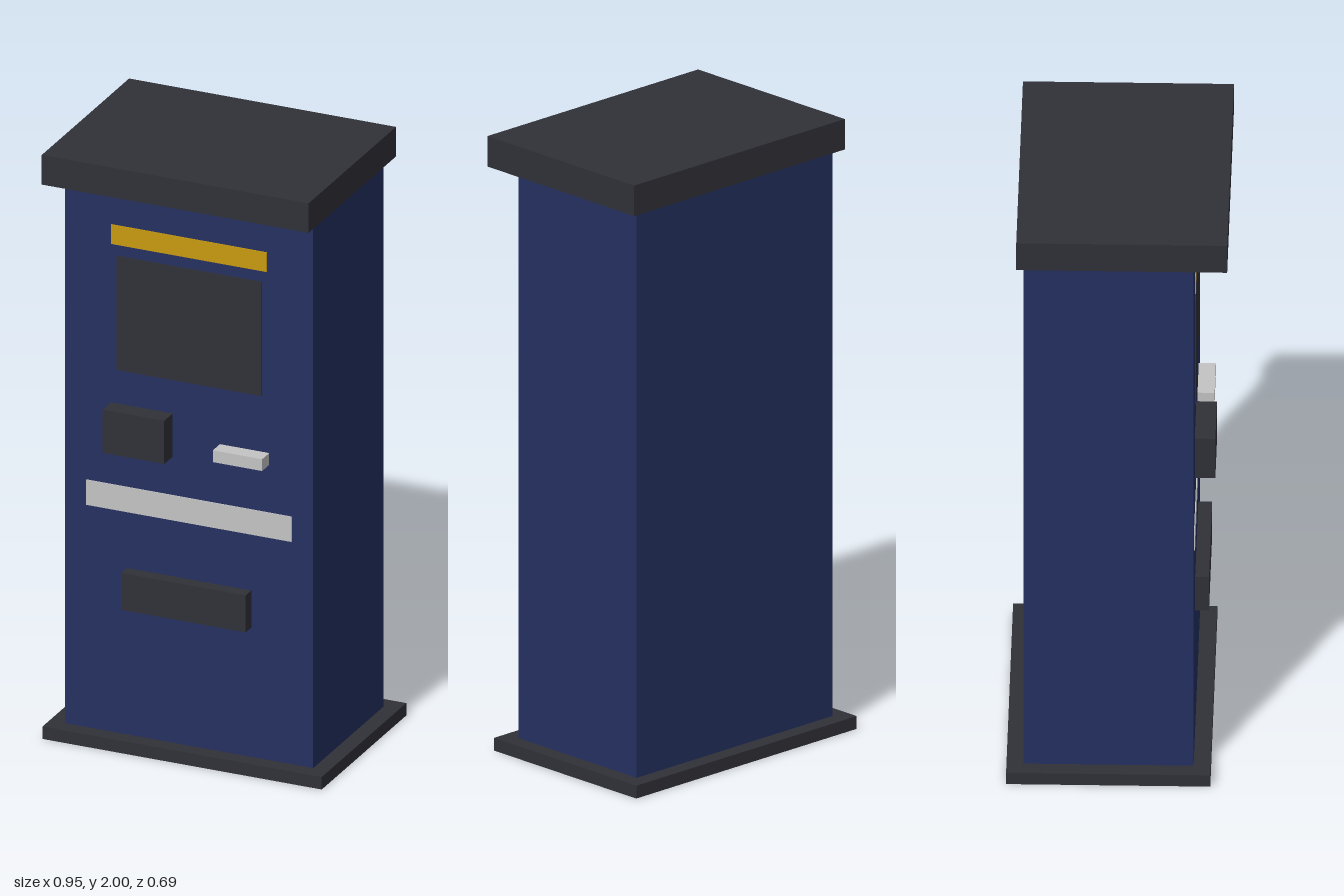
import * as THREE from 'three';

const material = (name, color) => {
  const m = new THREE.MeshStandardMaterial({ color });
  m.name = name;
  return m;
};

export function createModel() {
  const navy = material('navy blue', 0x243060);
  const charcoal = material('charcoal', 0x303038);
  const silver = material('silver grey', 0xc4c4c4);
  const amber = material('amber', 0xc89a10);

  const kiosk = new THREE.Group();
  kiosk.name = 'kiosk';

  // Box given by its extents on each axis
  const box = (name, mat, [x0, x1], [y0, y1], [z0, z1]) => {
    const mesh = new THREE.Mesh(new THREE.BoxGeometry(x1 - x0, y1 - y0, z1 - z0), mat);
    mesh.position.set((x0 + x1) / 2, (y0 + y1) / 2, (z0 + z1) / 2);
    mesh.name = name;
    kiosk.add(mesh);
  };

  // Cabinet
  const face = 0.238;
  box('basePlate', charcoal, [-0.476, 0.476], [0, 0.042], [-0.343, 0.291]);
  box('cabinet', navy, [-0.423, 0.423], [0.042, 1.9], [-0.29, face]);
  box('topCap', charcoal, [-0.455, 0.455], [1.9, 2], [-0.312, 0.343]);

  // Thin panels on the front face
  const panel = [face, face + 0.003];
  box('signStrip', amber, [-0.265, 0.265], [1.693, 1.759], panel);
  box('screen', charcoal, [-0.247, 0.247], [1.27, 1.656], panel);
  box('trimStrip', silver, [-0.35, 0.35], [0.795, 0.88], panel);

  // Raised fittings
  box('keypad', charcoal, [-0.266, -0.056], [1.01, 1.156], [face, 0.302]);
  box('cardSlot', silver, [0.105, 0.273], [1.041, 1.081], [face, 0.291]);
  box('dispenserTray', charcoal, [-0.212, 0.212], [0.48, 0.605], [face, 0.281]);

  return kiosk;
}
